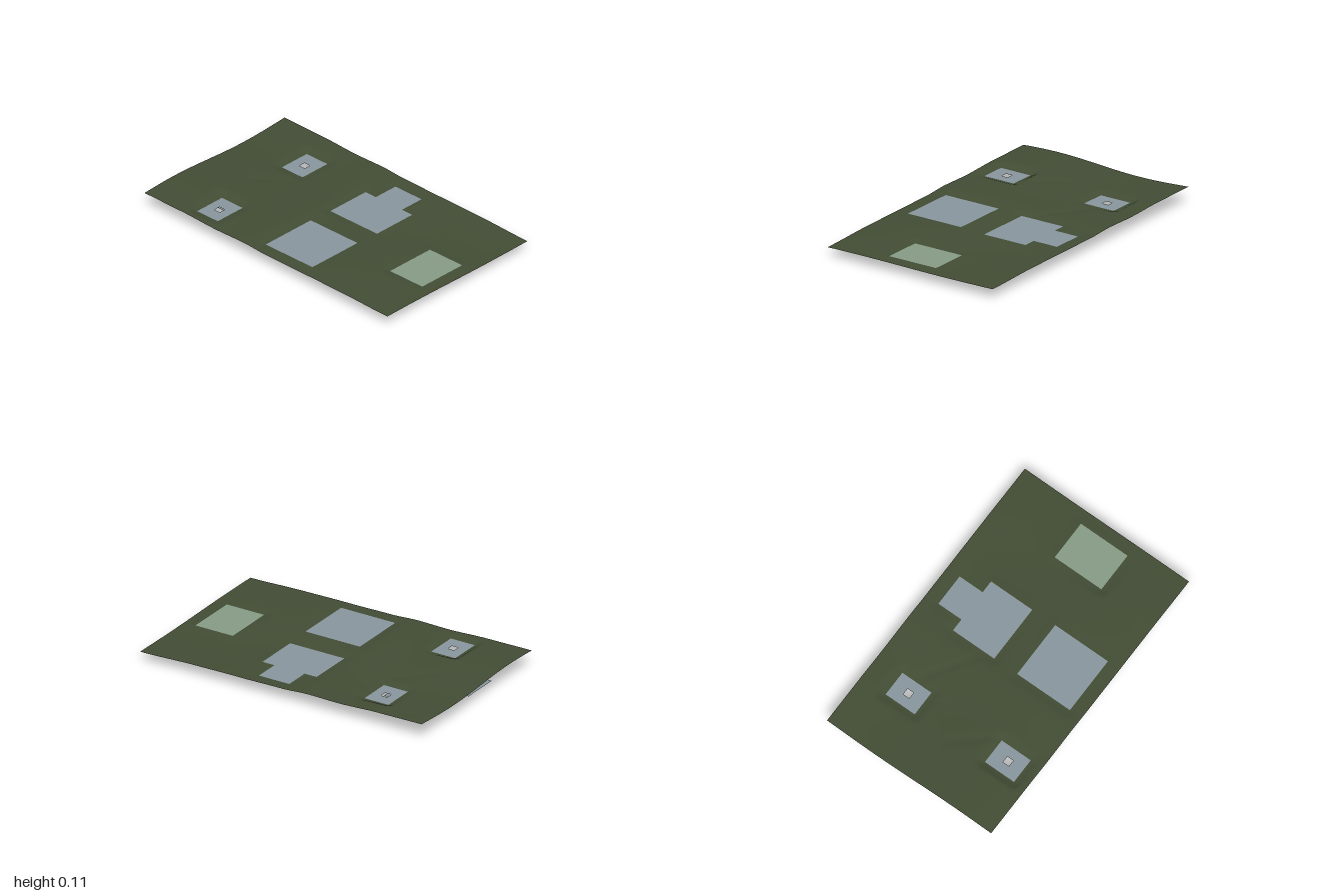
import * as THREE from 'three';

const material = (name, color) =>
  new THREE.MeshStandardMaterial({ name, color, side: THREE.DoubleSide });

// Building pads: level y, footprint corners as [x, z], optional square opening
const pads = [
  { name: 'backLeftPad', y: 0.082, hole: [-0.415, -0.565], rects: [[-0.52, -0.305, -0.65, -0.48]] },
  { name: 'backRightPad', y: 0.07, hole: [0.323, -0.565], rects: [[0.215, 0.43, -0.65, -0.48]] },
  { name: 'largePad', y: 0.082, rects: [[-0.52, -0.13, -0.085, 0.3]] },
  { name: 'steppedPad', y: 0.073, rects: [[0.04, 0.345, -0.085, 0.3], [0.345, 0.515, 0, 0.215]] },
  { name: 'greenPad', y: 0.067, green: true, rects: [[-0.215, 0.13, 0.65, 0.915]] },
];
// Buried slab below the ground
const slab = { name: 'buriedSlab', y: 0, rects: [[-0.305, -0.05, -0.91, -0.48], [-0.05, 0.215, -0.63, -0.48]] };

const smooth = THREE.MathUtils.smoothstep;

// Ground level along z, front to back
const profile = [[-1, 0.1], [-0.7, 0.097], [-0.4, 0.087], [-0.2, 0.09], [0, 0.08], [0.3, 0.076], [0.6, 0.072], [1, 0.063]];
function profileAt(z) {
  for (let i = 1; i < profile.length; i++) {
    const [z0, y0] = profile[i - 1], [z1, y1] = profile[i];
    if (z <= z1) return y0 + (y1 - y0) * smooth(z, z0, z1);
  }
  return profile[profile.length - 1][1];
}

// Shallow tracks worn into the ground, as x0, z0, x1, z1
const tracks = [[-0.25, -0.5, -0.05, -0.68], [-0.05, -0.68, 0.12, -0.5], [0.33, -0.45, 0.12, -0.12]];
function trackDepth(x, z) {
  let depth = 0;
  for (const [x0, z0, x1, z1] of tracks) {
    const dx = x1 - x0, dz = z1 - z0;
    const t = THREE.MathUtils.clamp(((x - x0) * dx + (z - z0) * dz) / (dx * dx + dz * dz), 0, 1);
    const d = Math.hypot(x - x0 - dx * t, z - z0 - dz * t);
    depth = Math.max(depth, 0.005 * (1 - smooth(d, 0, 0.05)));
  }
  return depth;
}

// Rolling ground, blended to each pad's level around its edge
function groundHeight(x, z) {
  const wave = 0.0125 * (1 - smooth(z, 0.5, 1) * 0.8) * (1 - 0.5 * smooth(z, -0.9, -0.2) * (1 - smooth(z, 0.2, 0.5)));
  let y = profileAt(z) - wave * Math.sin((x + 0.05) * 5.24) - trackDepth(x, z);
  for (const pad of pads) {
    const d = Math.min(...pad.rects.map(([x0, x1, z0, z1]) =>
      Math.hypot(Math.max(x0 - x, 0, x - x1), Math.max(z0 - z, 0, z - z1))));
    y = THREE.MathUtils.lerp(pad.y, y, smooth(d, 0.005, 0.06));
  }
  return y;
}

// Grid lines that include every pad edge
function gridLines(half, step, edges) {
  const stops = [...new Set([-half, ...edges, half])].sort((a, b) => a - b);
  const lines = [stops[0]];
  for (let i = 1; i < stops.length; i++) {
    const a = stops[i - 1], b = stops[i], n = Math.ceil((b - a) / step);
    for (let k = 1; k <= n; k++) lines.push(a + (b - a) * k / n);
  }
  return lines;
}

// Ground sheet with the pad footprints left open
function groundGeometry() {
  const rects = pads.flatMap(p => p.rects);
  const xs = gridLines(0.607, 0.02, rects.flatMap(r => [r[0], r[1]]));
  const zs = gridLines(1, 0.02, rects.flatMap(r => [r[2], r[3]]));
  const points = [], faces = [];
  for (const z of zs) for (const x of xs) points.push(x, groundHeight(x, z), z);
  for (let j = 0; j < zs.length - 1; j++) {
    for (let i = 0; i < xs.length - 1; i++) {
      const cx = (xs[i] + xs[i + 1]) / 2, cz = (zs[j] + zs[j + 1]) / 2;
      if (rects.some(r => cx > r[0] && cx < r[1] && cz > r[2] && cz < r[3])) continue;
      const a = j * xs.length + i, c = a + xs.length;
      faces.push(a, c, a + 1, a + 1, c, c + 1);
    }
  }
  const geometry = new THREE.BufferGeometry();
  geometry.setAttribute('position', new THREE.Float32BufferAttribute(points, 3));
  geometry.setIndex(faces);
  geometry.computeVertexNormals();
  return geometry;
}

// Corners of a rectangle, in the shape plane where y stands for -z
const corners = ([x0, x1, z0, z1]) =>
  [[x0, -z1], [x1, -z1], [x1, -z0], [x0, -z0]].map(p => new THREE.Vector2(...p));

// Flat plate made of rectangles, with an optional square opening
function plate({ name, y, rects, hole }, mat) {
  const shapes = rects.map(r => new THREE.Shape(corners(r)));
  if (hole) {
    const [x, z] = hole, h = 0.022;
    shapes[0].holes.push(new THREE.Path(corners([x - h, x + h, z - h, z + h]).reverse()));
  }
  const mesh = new THREE.Mesh(new THREE.ShapeGeometry(shapes).rotateX(-Math.PI / 2), mat);
  mesh.name = name;
  mesh.position.y = y;
  return mesh;
}

export function createModel() {
  const group = new THREE.Group();
  group.name = 'buildingSite';
  const grass = material('dark grass', 0x424c34);
  const concrete = material('blue grey concrete', 0x88959c);
  const lawn = material('pale green', 0x869a84);

  const ground = new THREE.Mesh(groundGeometry(), grass);
  ground.name = 'ground';
  group.add(ground);

  for (const pad of pads) group.add(plate(pad, pad.green ? lawn : concrete));
  group.add(plate(slab, concrete));
  return group;
}
